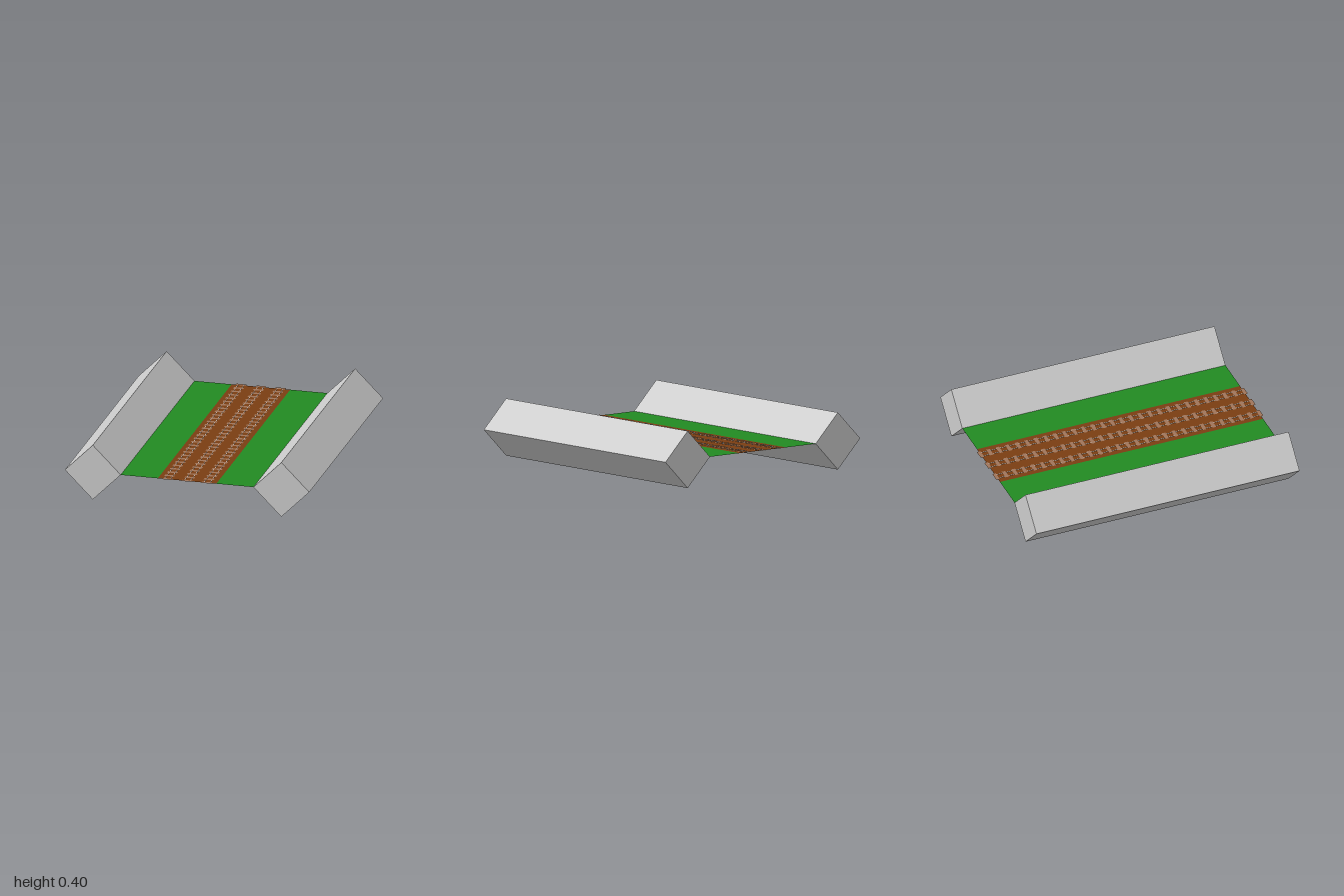
import * as THREE from 'three';

const LENGTH = 1.97;
const LEVEL = 0.2;

const material = (color) => new THREE.MeshStandardMaterial({ color, side: THREE.DoubleSide });

function addMesh(parent, name, geometry, mat, x, y, z = 0) {
  const mesh = new THREE.Mesh(geometry, mat);
  mesh.name = name;
  mesh.position.set(x, y, z);
  parent.add(mesh);
  return mesh;
}

// Flat horizontal sheet facing up
const sheet = (width, depth) => new THREE.PlaneGeometry(width, depth).rotateX(-Math.PI / 2);

export function createModel() {
  const model = new THREE.Group();
  model.name = 'railwaySection';
  const grey = material(0xcccccc);
  const green = material(0x228b22);
  const brown = material(0x7a3e12);
  const wood = material(0xa0755a);

  // Square side walls turned onto their edges, and the grass beside them
  const wallSide = 0.2 * Math.SQRT2;
  const wall = new THREE.BoxGeometry(wallSide, wallSide, LENGTH).rotateZ(Math.PI / 4);
  for (const [side, s] of [['left', 1], ['right', -1]]) {
    addMesh(model, side + 'Wall', wall, grey, s * 0.676, LEVEL);
    addMesh(model, side + 'Grass', sheet(0.267, LENGTH), green, s * 0.3435, LEVEL);
  }

  // Earth bed under the tracks
  addMesh(model, 'trackBed', sheet(0.42, LENGTH), brown, 0, LEVEL);

  // Three tracks, each with two thin rails and a row of sleepers
  const rail = new THREE.BoxGeometry(0.004, 0.004, LENGTH);
  const sleeper = sheet(0.072, 0.026);
  const sleeperCount = 29;
  for (const [name, x] of [['right', -0.142], ['middle', 0], ['left', 0.14]]) {
    const track = new THREE.Group();
    track.name = name + 'Track';
    track.position.set(x, LEVEL, 0);
    for (const s of [-1, 1]) addMesh(track, 'rail', rail, grey, s * 0.021, 0);
    for (let i = 0; i < sleeperCount; i++) {
      const z = -0.987 + (1.974 * i) / (sleeperCount - 1);
      addMesh(track, 'sleeper', sleeper, wood, 0, 0.0025, z);
    }
    model.add(track);
  }
  return model;
}
